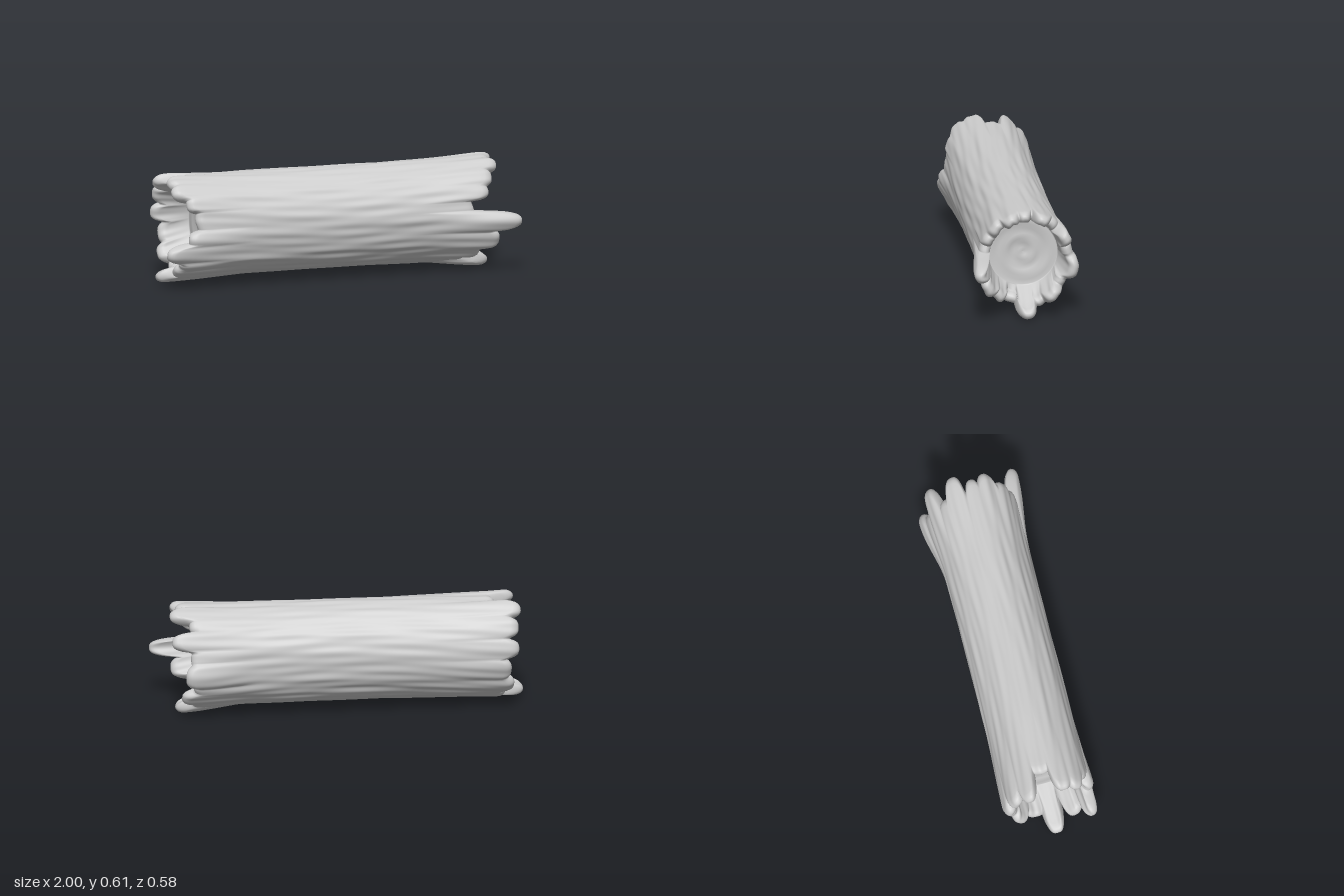
import * as THREE from 'three';

const SEG = 256, RAD = Math.PI / 180, CY = 0.317;

// Splinters at each end: [angle in degrees from front (+z) towards the top, tip distance, half width, flare]
const ENDS = {
  1: {
    base: 0.735, floor: 0.685, list: [
      [88, 0.89, 12, 0.004], [68, 0.91, 15, 0.006], [46, 0.86, 15, 0.012], [28, 0.83, 11, 0.012],
      [-7, 1.0, 12, 0.04], [-30, 0.89, 16, 0.02], [-51, 0.8, 12, 0.01], [-93, 0.89, 14, 0.034],
      [-113, 0.81, 13, 0.006], [-132, 0.87, 15, 0.008], [-152, 0.81, 12, 0.008], [-171, 0.86, 16, 0.052],
      [170, 0.83, 14, 0.02], [150, 0.93, 13, 0.025], [130, 0.83, 12, 0.01], [112, 0.93, 14, 0.016]]
  },
  '-1': {
    base: 0.825, floor: 0.74, list: [
      [72, 0.95, 15, 0.004], [52, 0.95, 13, 0.008], [35, 0.88, 11, 0.006], [-9, 0.88, 11, 0.012],
      [-25, 1.0, 12, 0.02], [-40, 0.92, 10, 0.018], [-54, 0.94, 14, 0.015], [-84, 1.0, 15, 0.008],
      [-110, 0.89, 17, 0.004], [-138, 0.93, 16, 0.006], [-163, 0.91, 16, 0.008],
      [171, 0.95, 13, 0.01], [146, 0.95, 15, 0.016], [122, 0.97, 13, 0.01]]
  }
};

// Length and outward flare of the wall at one angle of one end
function rim(side, a) {
  const { base, list } = ENDS[side];
  let length = base + 0.01 * Math.sin(9 * a + side), flare = -0.006;
  for (const [deg, tip, width, out] of list) {
    let d = a / RAD - deg;
    d = Math.abs(d - 360 * Math.round(d / 360)) / width;
    if (d >= 1) continue;
    length = Math.max(length, base + (tip - base) * Math.sqrt(1 - d ** 3));
    flare = Math.max(flare, -0.006 + (out + 0.006) * Math.sqrt(1 - d ** 2));
  }
  return { length, flare };
}

// Faint bark streaks, broken up along the log
function bark(a, x) {
  return 0.002 * Math.sin(5 * a + 2.4 * x)
    + 0.002 * Math.sin(11 * a + 1.2 * Math.sin(2.1 * x) + 0.6) * Math.sin(3.1 * x + 2 * a + 1)
    + 0.002 * Math.sin(17 * a + 1.5 * Math.sin(2.7 * x + 1)) * Math.sin(5.3 * x + 3 * a)
    + 0.002 * Math.sin(29 * a + 2 * Math.sin(3.3 * x + 2)) * Math.sin(7.1 * x + 5 * a + 2);
}

// Point on the outer oval; r is the offset from the mean surface
function outerPoint(a, x, r) {
  const off = 0.014 * x * x + r;
  return new THREE.Vector3(x, CY + (0.275 + off) * Math.sin(a), (0.235 + off) * Math.cos(a));
}

// Point on the floor that closes the hollow; t runs from its centre to its edge
function floorPoint(a, x, t) {
  return new THREE.Vector3(x, 0.325 + 0.187 * t * Math.sin(a), -0.006 + 0.187 * t * Math.cos(a));
}

// One end: outer edge -> rounded tip -> inner wall -> closed floor
function endProfile(side, a) {
  const { length, flare } = rim(side, a), pts = [], round = 0.045;
  for (let k = 0; k <= 8; k++) {
    const f = Math.PI * k / 8;
    const x = side * (length - round + round * Math.sin(f));
    pts.push(outerPoint(a, x, flare + bark(a, x) - 0.031 * (1 - Math.cos(f))));
  }
  // hollow wall narrowing to the floor
  const { floor } = ENDS[side];
  const edge = floorPoint(a, side * floor, 1), inner = pts[8];
  for (const t of [0.25, 0.5, 0.75, 0.97, 1]) pts.push(inner.clone().lerp(edge, t));
  // gently rippled floor
  for (const t of [0.97, 0.85, 0.7, 0.55, 0.4, 0.25, 0.12, 0.001]) {
    const dent = 0.025 * Math.sin(t * 14 + a) * t * (1 - t);
    pts.push(floorPoint(a, side * (floor - 0.015 * (1 - t) + dent), t));
  }
  return pts;
}

// Full profile of the log at one angle, from the left floor centre to the right one
function logProfile(a) {
  const low = rim(-1, a), high = rim(1, a), body = [], N = 56;
  const x0 = -(low.length - 0.045), x1 = high.length - 0.045;
  for (let i = 1; i < N; i++) {
    const x = x0 + (x1 - x0) * i / N;
    const [flare, end] = x < 0 ? [low.flare, -x0] : [high.flare, x1];
    const blend = THREE.MathUtils.smoothstep(Math.abs(x), 0.45, end);
    body.push(outerPoint(a, x, flare * blend + bark(a, x)));
  }
  return [...endProfile(-1, a).reverse(), ...body, ...endProfile(1, a)];
}

export function createModel() {
  const group = new THREE.Group();
  group.name = 'hollowLog';
  const positions = [], index = [];
  let rows = 0;
  for (let j = 0; j < SEG; j++) {
    const profile = logProfile(j / SEG * Math.PI * 2);
    rows = profile.length;
    for (const p of profile) positions.push(p.x, p.y, p.z);
  }
  // Skin neighbouring profiles, closing around the log
  for (let j = 0; j < SEG; j++) {
    const n = (j + 1) % SEG;
    for (let i = 0; i < rows - 1; i++) {
      const a = j * rows + i, d = n * rows + i;
      index.push(a, a + 1, d + 1, a, d + 1, d);
    }
  }
  const geometry = new THREE.BufferGeometry();
  geometry.setAttribute('position', new THREE.Float32BufferAttribute(positions, 3));
  geometry.setIndex(index);
  geometry.computeVertexNormals();
  const log = new THREE.Mesh(geometry, new THREE.MeshStandardMaterial({ color: 0xcccccc }));
  log.name = 'splinteredLog';
  group.add(log);
  return group;
}
